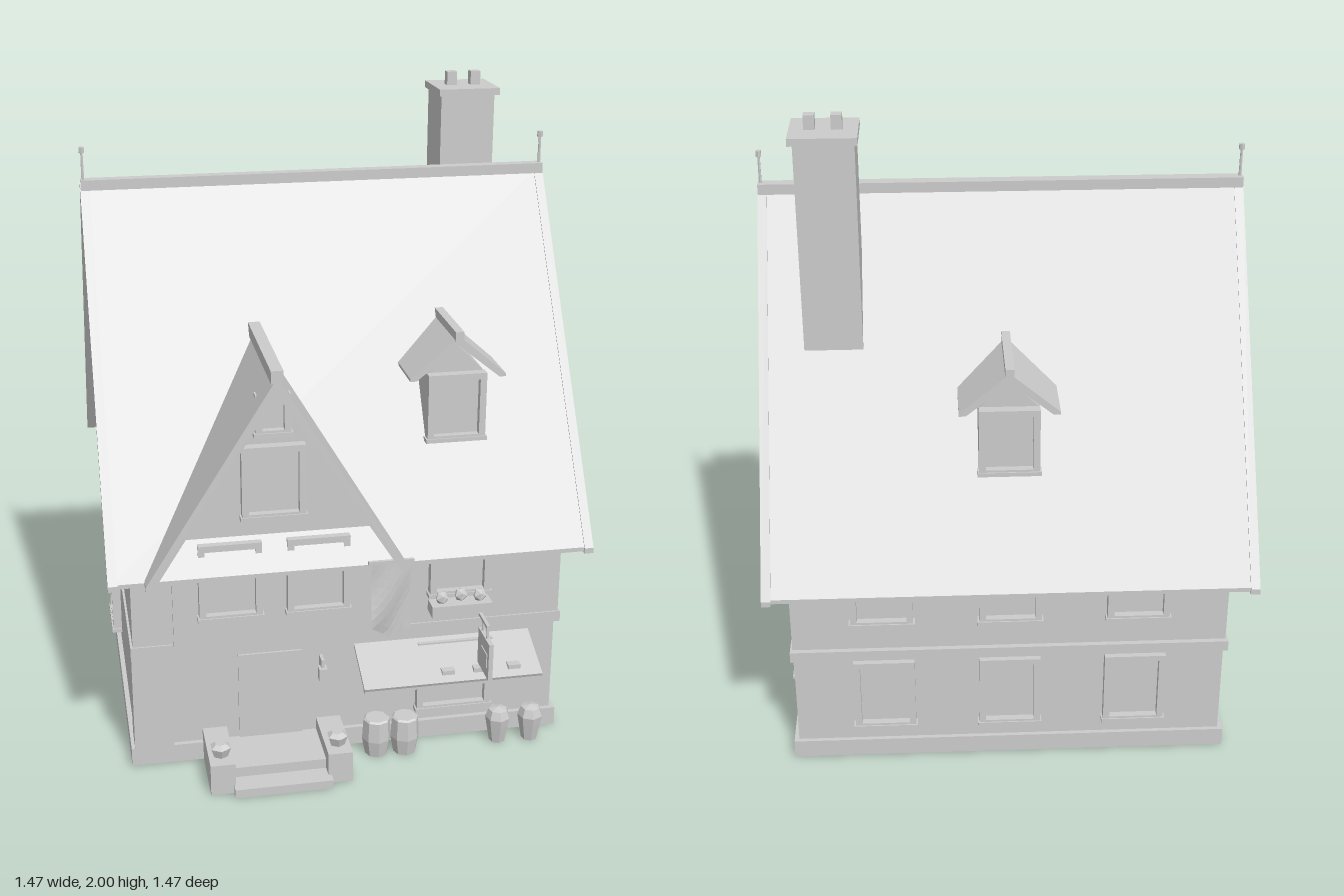
import * as THREE from 'three';

const grey = new THREE.MeshStandardMaterial({ color: 0xcccccc, side: THREE.DoubleSide, flatShading: true });
grey.name = 'plain grey';

const RIDGE_Z = -0.057, RIDGE_Y = 1.72, EAVE_Y = 0.685;
const FRONT_SLOPE = 1.545, BACK_SLOPE = 1.535;

function add(parent, name, geometry, x = 0, y = 0, z = 0) {
  const mesh = new THREE.Mesh(geometry, grey);
  mesh.name = name;
  mesh.position.set(x, y, z);
  parent.add(mesh);
  return mesh;
}

// Box given by its limits on each axis
function block(parent, name, x0, x1, y0, y1, z0, z1) {
  return add(parent, name, new THREE.BoxGeometry(x1 - x0, y1 - y0, z1 - z0),
    (x0 + x1) / 2, (y0 + y1) / 2, (z0 + z1) / 2);
}

function extrude(points, depth) {
  const shape = new THREE.Shape(points.map(([x, y]) => new THREE.Vector2(x, y)));
  return new THREE.ExtrudeGeometry(shape, { depth, bevelEnabled: false });
}

// Upside-down V section; t is the vertical thickness
const chevron = (left, right, eave, apexX, apexY, t) => [
  [left, eave], [apexX, apexY], [right, eave], [right, eave - t * 0.3],
  [right - 0.02, eave - t * 0.3], [apexX, apexY - t], [left + 0.02, eave - t * 0.3], [left, eave - t * 0.3]];

// Profile running from z = front back until it meets the main roof slope
function intoRoof(points, front, slope, ridgeZ) {
  const g = extrude(points, 1);
  const p = g.attributes.position;
  for (let i = 0; i < p.count; i++) {
    const back = ridgeZ + (RIDGE_Y - p.getY(i)) / slope - 0.02;
    p.setZ(i, p.getZ(i) > 0.5 ? front : Math.min(back, front - 0.01));
  }
  g.computeVertexNormals();
  return g;
}

// Framed window with a sill, its back on z = 0 and its bottom on y = 0
function makeWindow(w, h) {
  const g = new THREE.Group();
  g.name = 'window';
  const f = 0.02, a = w / 2 - 0.005;
  const shape = new THREE.Shape([[-a, 0], [a, 0], [a, h], [-a, h]].map(p => new THREE.Vector2(...p)));
  shape.holes.push(new THREE.Path([[-a + f, f], [-a + f, h - f], [a - f, h - f], [a - f, f]].map(p => new THREE.Vector2(...p))));
  add(g, 'windowFrame', new THREE.ExtrudeGeometry(shape, { depth: 0.03, bevelEnabled: false }));
  block(g, 'windowPane', -a + f, a - f, f, h - f, 0, 0.008);
  block(g, 'windowSill', -w / 2, w / 2, 0, 0.013, 0, 0.034);
  return g;
}

function placeWindow(parent, x, y, z, turn = 0, w = 0.2, h = 0.25) {
  const win = makeWindow(w, h);
  win.position.set(x, y, z);
  win.rotation.y = turn;
  parent.add(win);
}

function makeDormer(front, slope, ridgeZ) {
  const g = new THREE.Group();
  g.name = 'dormer';
  const wall = [[-0.09, 0.99], [0.09, 0.99], [0.09, 1.2], [0, 1.29], [-0.09, 1.2]];
  add(g, 'dormerWall', intoRoof(wall, front - 0.03, slope, ridgeZ));
  add(g, 'dormerRoof', intoRoof(chevron(-0.148, 0.148, 1.2, 0, 1.325, 0.03), front, slope, ridgeZ));
  const cap = [[-0.013, 1.31], [0.013, 1.31], [0.013, 1.34], [-0.013, 1.34]];
  add(g, 'dormerRidge', intoRoof(cap, front + 0.005, slope, ridgeZ));
  placeWindow(g, 0, 0.99, front - 0.03, 0, 0.19, 0.215);
  return g;
}

export function createModel() {
  const house = new THREE.Group();
  house.name = 'house';

  // Walls
  block(house, 'plinth', -0.683, 0.683, 0, 0.06, -0.605, 0.5);
  block(house, 'lowerWalls', -0.668, 0.668, 0.06, 0.4, -0.592, 0.485);
  block(house, 'cornerPier', -0.672, -0.55, 0.06, 0.39, 0.4, 0.5);
  block(house, 'storeyBand', -0.674, 0.674, 0.39, 0.425, -0.636, 0.525);
  const gable = extrude([[-0.52, 0.42], [0.62, 0.42], [0.62, 0.8], [-RIDGE_Z, 1.69], [-0.52, 0.8]], 1.334);
  gable.rotateY(Math.PI / 2);
  add(house, 'upperWallsAndGables', gable, -0.667);

  // Main roof with edge boards, ridge and finials
  const section = chevron(-0.613, 0.73, EAVE_Y, -RIDGE_Z, RIDGE_Y, 0.045);
  const roof = extrude(section, 1.45).rotateY(Math.PI / 2);
  add(house, 'mainRoof', roof, -0.725);
  const boards = chevron(-0.618, 0.736, EAVE_Y - 0.002, -RIDGE_Z, RIDGE_Y + 0.005, 0.058);
  for (const s of [-1, 1]) {
    add(house, 'bargeBoard', extrude(boards, 0.028).rotateY(Math.PI / 2), s * 0.721 - 0.014);
    add(house, 'finialPole', new THREE.CylinderGeometry(0.004, 0.005, 0.11, 6), s * 0.725, 1.77, RIDGE_Z);
    add(house, 'finialKnob', new THREE.CylinderGeometry(0.009, 0.009, 0.018, 6), s * 0.725, 1.823, RIDGE_Z);
  }
  block(house, 'ridgeCap', -0.733, 0.733, 1.7, 1.732, -0.078, -0.04);

  // Chimney
  block(house, 'chimney', 0.425, 0.6, 1.1, 1.94, -0.33, -0.16);
  block(house, 'chimneyCap', 0.416, 0.614, 1.935, 1.957, -0.342, -0.147);
  for (const x of [0.477, 0.555]) block(house, 'chimneyPot', x - 0.016, x + 0.016, 1.95, 2, -0.262, -0.23);

  // Front gable bay
  const bay = new THREE.Group();
  bay.name = 'frontBay';
  bay.position.x = -0.24;
  house.add(bay);
  const bayWall = [[-0.305, 0.43], [0.305, 0.43], [0.305, 0.77], [0, 1.26], [-0.305, 0.77]];
  add(bay, 'bayWall', intoRoof(bayWall, 0.55, FRONT_SLOPE, RIDGE_Z));
  add(bay, 'bayRoof', intoRoof(chevron(-0.388, 0.388, 0.69, 0, 1.305, 0.05), 0.655, FRONT_SLOPE, RIDGE_Z));
  const bayCap = [[-0.018, 1.29], [0.018, 1.29], [0.018, 1.328], [-0.018, 1.328]];
  add(bay, 'bayRidge', intoRoof(bayCap, 0.658, FRONT_SLOPE, RIDGE_Z));
  for (const s of [-1, 1]) placeWindow(bay, s * 0.133, 0.52, 0.55);
  placeWindow(bay, 0, 0.84, 0.55, 0, 0.2, 0.23);
  placeWindow(bay, 0, 1.1, 0.55, 0, 0.115, 0.13);

  // Dormers on the front and back slopes
  const frontDormer = makeDormer(0.44, FRONT_SLOPE, RIDGE_Z);
  frontDormer.position.x = 0.342;
  const backDormer = makeDormer(0.565, BACK_SLOPE, -RIDGE_Z);
  backDormer.rotation.y = Math.PI;
  house.add(frontDormer, backDormer);

  // Side windows, mirrored
  for (const s of [-1, 1]) {
    const turn = s * Math.PI / 2, x = s * 0.667;
    placeWindow(house, x, 0.115, -0.255, turn);
    placeWindow(house, x, 0.52, 0.14, turn);
    placeWindow(house, x, 0.84, -0.057, turn, 0.2, 0.235);
    placeWindow(house, x, 1.11, -0.057, turn, 0.115, 0.135);
  }
  // Back windows
  for (const x of [-0.39, 0, 0.39]) {
    placeWindow(house, x, 0.115, -0.59, Math.PI);
    placeWindow(house, x, 0.52, -0.62, Math.PI);
  }

  // Upper front window with flower box
  placeWindow(house, 0.34, 0.52, 0.518);
  block(house, 'flowerBox', 0.245, 0.435, 0.468, 0.505, 0.52, 0.58);
  [0.28, 0.34, 0.4].forEach((x, i) =>
    add(house, 'flowers', new THREE.IcosahedronGeometry(0.022, 0), x, 0.522 + (i % 2) * 0.006, 0.552));

  // Door, steps, pedestals with pots
  block(house, 'door', -0.345, -0.145, 0.05, 0.35, 0.48, 0.492);
  block(house, 'upperStep', -0.385, -0.1, 0, 0.06, 0.48, 0.66);
  block(house, 'lowerStep', -0.39, -0.09, 0, 0.028, 0.48, 0.73);
  for (const x of [-0.422, -0.062]) {
    block(house, 'pedestal', x - 0.038, x + 0.038, 0, 0.1, 0.48, 0.7);
    add(house, 'pedestalPot', new THREE.CylinderGeometry(0.034, 0.024, 0.03, 6), x, 0.115, 0.64);
    add(house, 'pedestalPlant', new THREE.CylinderGeometry(0.018, 0.034, 0.012, 6), x, 0.135, 0.64);
  }
  block(house, 'doorLamp', -0.098, -0.072, 0.258, 0.298, 0.505, 0.535);
  block(house, 'doorLampArm', -0.09, -0.08, 0.29, 0.325, 0.48, 0.525);

  // Shop window and awning
  placeWindow(house, 0.34, 0.1, 0.483, 0, 0.25, 0.245);
  const awning = block(house, 'awning', 0.02, 0.583, -0.005, 0.005, -0.092, 0.092);
  awning.position.set(0.302, 0.313, 0.563);
  awning.rotation.x = 0.4;
  block(house, 'awningValance', 0.03, 0.575, 0.242, 0.285, 0.585, 0.61);
  for (const x of [0.29, 0.39, 0.5]) block(house, 'awningClip', x - 0.02, x + 0.02, 0.292, 0.306, 0.6, 0.625);

  // Hanging sign
  block(house, 'signArm', 0.392, 0.402, 0.465, 0.475, 0.52, 0.67);
  for (const z of [0.61, 0.66]) block(house, 'signHanger', 0.394, 0.4, 0.42, 0.47, z, z + 0.006);
  block(house, 'signBoard', 0.39, 0.404, 0.31, 0.43, 0.59, 0.708);
  block(house, 'signPanel', 0.387, 0.407, 0.345, 0.39, 0.632, 0.692);

  // Pointed, gently waving banner
  const cloth = new THREE.PlaneGeometry(0.12, 0.22, 6, 8);
  const p = cloth.attributes.position;
  for (let i = 0; i < p.count; i++) {
    const x = p.getX(i), down = 0.5 - p.getY(i) / 0.22;
    p.setY(i, p.getY(i) - down * 0.045 * (1 - Math.abs(x) / 0.06));
    p.setZ(i, 0.012 * Math.sin(x * 45 + down * 5) * down);
  }
  cloth.computeVertexNormals();
  add(house, 'banner', cloth, 0.105, 0.585, 0.615);
  block(house, 'bannerPole', 0.035, 0.175, 0.686, 0.696, 0.61, 0.62);
  block(house, 'bannerArm', 0.1, 0.11, 0.68, 0.69, 0.52, 0.615);

  // Tubs and potted plants beside the shop
  const profile = pts => pts.map(([r, y]) => new THREE.Vector2(r, y));
  const tub = profile([[0, 0], [0.036, 0], [0.046, 0.055], [0.042, 0.12], [0.036, 0.125], [0, 0.125]]);
  const pot = profile([[0, 0], [0.025, 0], [0.036, 0.06], [0.04, 0.085], [0.03, 0.112], [0, 0.12]]);
  for (const [x, z] of [[0.08, 0.555], [0.17, 0.56]]) add(house, 'tub', new THREE.LatheGeometry(tub, 8), x, 0, z);
  for (const [x, z] of [[0.475, 0.555], [0.58, 0.56]]) add(house, 'pottedPlant', new THREE.LatheGeometry(pot, 7), x, 0, z);

  return house;
}
